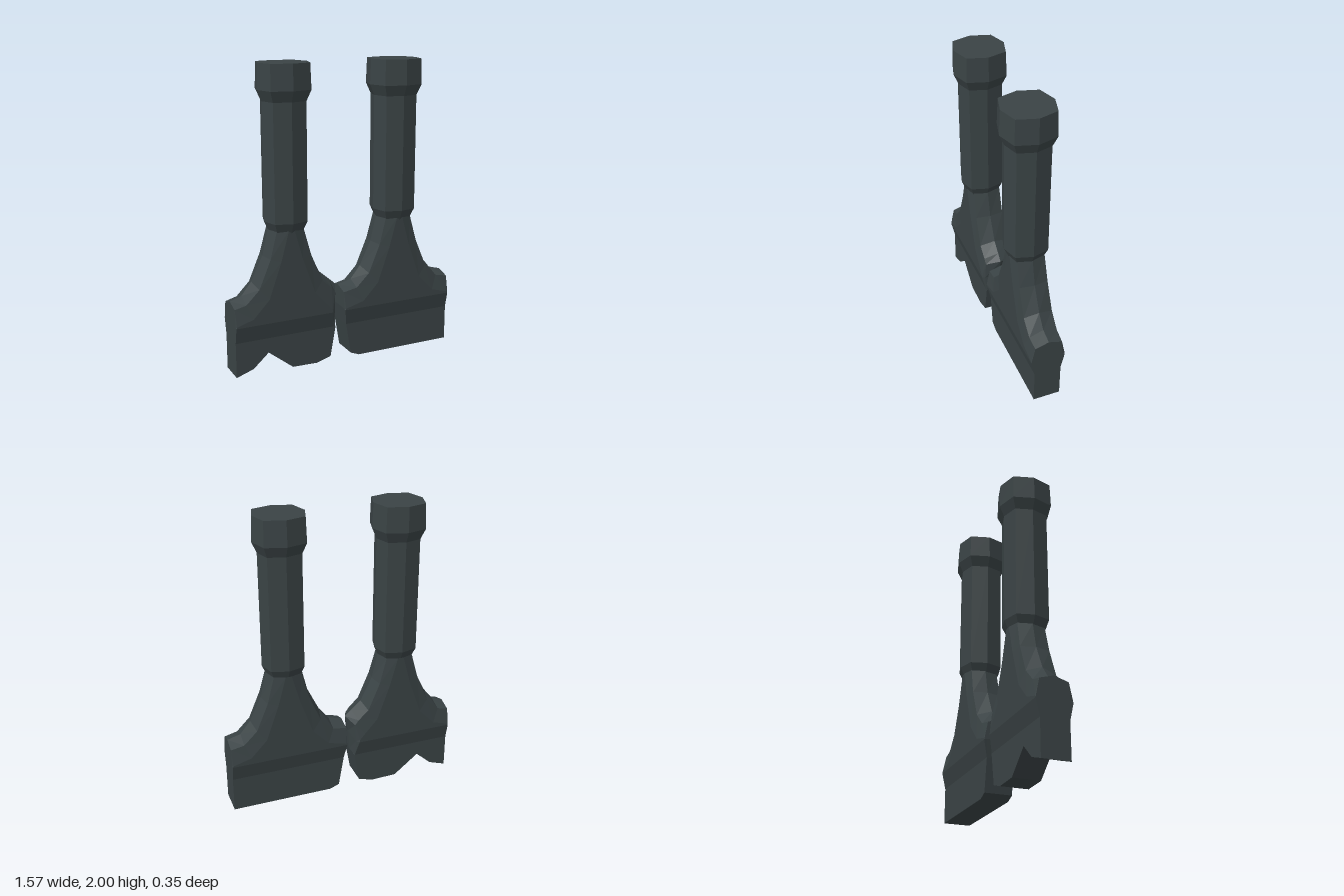
import * as THREE from 'three';

const material = new THREE.MeshStandardMaterial({ color: 0x3a4345, flatShading: true });

// Skin a stack of rings (bottom to top), each a loop running left, front, right, back.
function loft(rings, capTop) {
  const n = rings[0].length;
  const pos = rings.flat(2);
  const index = [];
  for (let r = 0; r < rings.length - 1; r++) {
    for (let i = 0; i < n; i++) {
      const a = r * n + i, b = r * n + (i + 1) % n;
      index.push(a, b, b + n, a, b + n, a + n);
    }
  }
  if (capTop) {
    const t = (rings.length - 1) * n;
    for (let i = 1; i < n - 1; i++) index.push(t, t + i, t + i + 1);
  }
  const indexed = new THREE.BufferGeometry();
  indexed.setAttribute('position', new THREE.Float32BufferAttribute(pos, 3));
  indexed.setIndex(index);
  const geometry = indexed.toNonIndexed();
  geometry.computeVertexNormals();
  return geometry;
}

function part(name, geometry) {
  const mesh = new THREE.Mesh(geometry, material);
  mesh.name = name;
  return mesh;
}

// Eight-sided ring, slightly squarer than a regular octagon.
function octagon(y, r) {
  const c = r * 0.775;
  return [[-r, y, 0], [-c, y, c], [0, y, r], [c, y, c], [r, y, 0], [c, y, -c], [0, y, -r], [-c, y, -c]];
}

// Grip with neck at the bottom and a flared pommel on top.
function handle() {
  const profile = [[0.9, 0.1], [0.945, 0.118], [1.0, 0.143], [1.765, 0.143], [1.835, 0.174], [2.0, 0.168]];
  return part('handle', loft(profile.map(([y, r]) => octagon(y, r)), true));
}

// Bevelled shoulder: each side row is [ridge x, ridge y, rim x, rim y, rim z, face x, face y, face z].
function shoulder(left, right) {
  const rings = left.map((l, i) => {
    const q = right[i];
    const side = (p, s, f) => [[s * p[2], p[3], f * p[4]], [s * p[5], p[6], f * p[7]]];
    const [lrf, lff] = side(l, -1, 1), [rrf, rff] = side(q, 1, 1);
    const [lrb, lfb] = side(l, -1, -1), [rrb, rfb] = side(q, 1, -1);
    return [[-l[0], l[1], 0], lrf, lff, rff, rrf, [q[0], q[1], 0], rrb, rfb, lfb, lrb];
  });
  return part('shoulder', loft(rings, false));
}

// Flat lower blade cut from its front outline.
function blade(points) {
  const shape = new THREE.Shape(points.map(([x, y]) => new THREE.Vector2(x, y)));
  const geometry = new THREE.ExtrudeGeometry(shape, { depth: 0.184, bevelEnabled: false });
  geometry.translate(0, 0, -0.092);
  return part('blade', geometry);
}

// Upper slope shared by all sides, from mid shoulder to neck.
const slope = [
  [0.24, 0.61, 0.22, 0.58, 0.098, 0.16, 0.51, 0.117],
  [0.16, 0.775, 0.14, 0.77, 0.097, 0.075, 0.75, 0.117],
  [0.118, 0.95, 0.092, 0.95, 0.092, 0.02, 0.95, 0.117],
];

// A square shoulder end reaching half width w, with half width b where the blade begins.
const squareEnd = (w, b) => [
  [b, 0.24, b, 0.24, 0.092, b, 0.24, 0.092],
  [w, 0.36, w, 0.355, 0.1, w, 0.35, 0.117],
  [w, 0.498, w, 0.47, 0.092, w - 0.005, 0.36, 0.117],
  [0.31, 0.523, 0.31, 0.49, 0.096, 0.27, 0.395, 0.117],
  ...slope,
];

// A chipped shoulder end coming to a ridge.
const chippedEnd = [
  [0.32, 0.24, 0.315, 0.24, 0.092, 0.3, 0.24, 0.092],
  [0.33, 0.39, 0.31, 0.355, 0.1, 0.29, 0.35, 0.117],
  [0.355, 0.51, 0.315, 0.48, 0.094, 0.285, 0.37, 0.117],
  [0.31, 0.55, 0.29, 0.515, 0.096, 0.25, 0.41, 0.117],
  ...slope,
];

function tool(name, x, left, right, outline) {
  const group = new THREE.Group();
  group.name = name;
  const head = new THREE.Group();
  head.name = 'head';
  head.add(shoulder(left, right), blade(outline));
  head.position.z = -0.004;
  group.add(handle(), head);
  group.position.x = x;
  return group;
}

export function createModel() {
  const model = new THREE.Group();
  model.name = 'pairOfScrapers';
  // Notched and chipped tool
  model.add(tool('brokenScraper', -0.4, squareEnd(0.388, 0.388), chippedEnd, [
    [-0.388, 0.24], [-0.388, 0.005], [-0.27, 0.045], [-0.165, 0.14], [0.005, 0.005],
    [0.18, 0], [0.28, 0.03], [0.318, 0.24],
  ]));
  // Whole tool with one worn corner
  model.add(tool('wholeScraper', 0.385, squareEnd(0.405, 0.388), squareEnd(0.4, 0.4), [
    [-0.388, 0.24], [-0.352, 0.025], [-0.29, 0], [0.4, 0], [0.4, 0.24],
  ]));
  return model;
}
